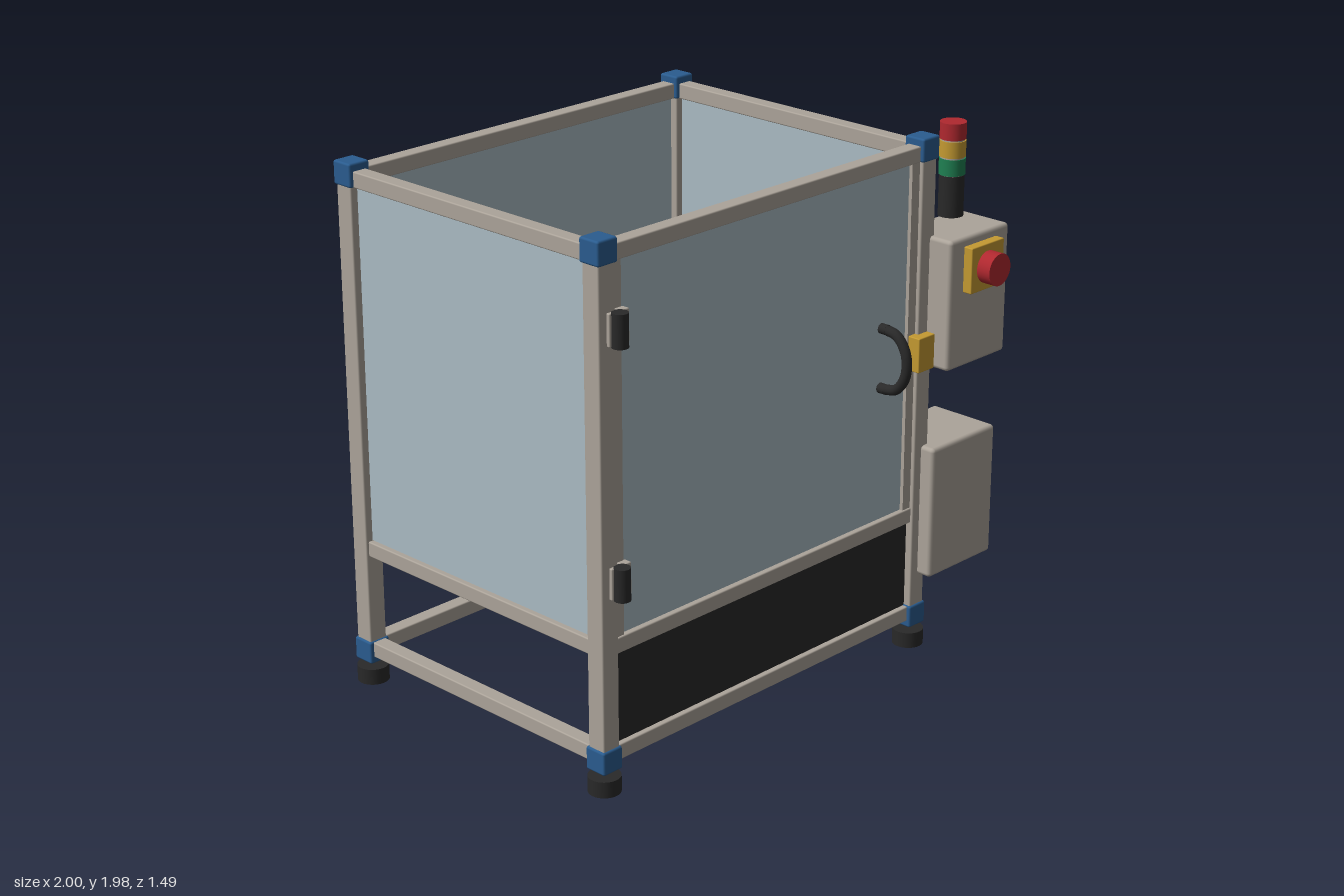
import * as THREE from 'three';
import { RoundedBoxGeometry } from 'three/addons/geometries/RoundedBoxGeometry.js';

const mat = (name, color, side = THREE.FrontSide) => {
  const m = new THREE.MeshStandardMaterial({ color, side });
  m.name = name;
  return m;
};

export function createModel() {
  const model = new THREE.Group();
  model.name = 'machineCell';
  const beige = mat('beige metal', 0xaca49a);
  const glass = mat('glass blue', 0xabbcc4);
  const blue = mat('blue', 0x2a5c8f);
  const black = mat('black', 0x292929);
  const red = mat('red', 0xb0282f);
  const yellow = mat('yellow', 0xc49a32);
  const green = mat('green', 0x1f8052);

  const add = (name, geo, m, x, y, z, parent = model) => {
    const mesh = new THREE.Mesh(geo, m);
    mesh.name = name;
    mesh.position.set(x, y, z);
    parent.add(mesh);
    return mesh;
  };
  // Box given by its limits, with softly rounded edges when r > 0
  const box = (name, m, x0, x1, y0, y1, z0, z1, r = 0) => {
    const s = [x1 - x0, y1 - y0, z1 - z0];
    const geo = r ? new RoundedBoxGeometry(...s, 2, r) : new THREE.BoxGeometry(...s);
    return add(name, geo, m, (x0 + x1) / 2, (y0 + y1) / 2, (z0 + z1) / 2);
  };
  const cyl = (r, h, n = 32) => new THREE.CylinderGeometry(r, r, h, n);
  const cylZ = (r, h) => cyl(r, h).rotateX(Math.PI / 2);

  // Frame: posts, corner blocks, feet
  const X = [-0.942, 0.643], Z = [-0.687, 0.517], p = 0.037, b = 0.029;
  for (const x of X) for (const z of Z) {
    box('post', beige, x - p, x + p, 0.14, 1.92, z - p, z + p, 0.006);
    for (const y of [0.128, 1.925]) add('cornerBlock', new RoundedBoxGeometry(0.088, 0.086, 0.088, 2, 0.008), blue, x, y, z);
    add('foot', cyl(0.058, 0.06), black, x, 0.032, z);
  }
  // Horizontal rails at three heights on all four sides
  for (const y of [0.139, 0.537, 1.911]) {
    for (const z of Z) box('crossRail', beige, X[0] + p, X[1] - p, y - b, y + b, z - b, z + b, 0.005);
    for (const x of X) box('sideRail', beige, x - b, x + b, y - b, y + b, Z[0] + p, Z[1] - p, 0.005);
  }

  // Glass panels and the dark front skirt
  const g = 0.008, y0 = 0.566, y1 = 1.882;
  for (const x of X) box('sidePanel', glass, x - g, x + g, y0, y1, Z[0] + p, Z[1] - p);
  box('backPanel', glass, X[0] + p, X[1] - p, y0, y1, Z[0] - g, Z[0] + g);
  box('doorPanel', glass, -0.865, 0.566, y0, y1, Z[1] - g, Z[1] + g);
  box('frontSkirt', black, X[0] + p, X[1] - p, 0.168, 0.508, Z[1] - g, Z[1] + g);
  box('doorStile', beige, -0.905, -0.865, y0, y1, Z[1] - 0.022, Z[1] + 0.022);
  box('doorStile', beige, 0.566, 0.606, y0, y1, Z[1] - 0.022, Z[1] + 0.022);

  // Door hinges, handle and latch
  for (const y of [0.78, 1.664]) {
    box('hingeLeaf', beige, -0.945, -0.855, y - 0.057, y + 0.057, 0.535, 0.567, 0.004);
    add('hingePin', cyl(0.029, 0.118, 20), black, -0.911, y, 0.58);
  }
  const path = new THREE.CatmullRomCurve3([[1.08, 0.55], [1.092, 0.6], [1.15, 0.641], [1.235, 0.641], [1.293, 0.6], [1.305, 0.55]]
    .map(([y, z]) => new THREE.Vector3(0.435, y, z)));
  add('doorHandle', new THREE.TubeGeometry(path, 32, 0.019, 12), black, 0, 0, 0);
  for (const y of [1.08, 1.305]) add('handleEnd', cylZ(0.019, 0.03), black, 0.435, y, 0.54);
  box('doorLatch', yellow, 0.571, 0.657, 1.112, 1.243, 0.535, 0.59, 0.004);

  // Control box with emergency stop, and lower cabinet
  box('controlBox', beige, 0.655, 0.982, 1.11, 1.6, 0.417, 0.653, 0.015);
  box('stopPlate', yellow, 0.728, 0.908, 1.396, 1.567, 0.65, 0.69, 0.004);
  add('stopButton', cylZ(0.06, 0.06), red, 0.817, 1.481, 0.716);
  box('lowerCabinet', beige, 0.643, 1.0, 0.29, 0.802, 0.323, 0.612, 0.015);

  // Signal tower
  [['towerBase', black, 1.638, 1.79, 0.046], ['greenLamp', green, 1.792, 1.852, 0.048],
    ['yellowLamp', yellow, 1.858, 1.917, 0.048], ['redLamp', red, 1.923, 1.984, 0.048]]
    .forEach(([n, m, lo, hi, r]) => add(n, cyl(r, hi - lo), m, 0.811, (lo + hi) / 2, 0.518));
  add('lampCore', cyl(0.044, 0.18), beige, 0.811, 1.88, 0.518);

  // Work table with two round fixtures
  box('workTable', beige, -0.155, 0.518, 0.57, 0.64, -0.37, 0.163);
  for (const x of [-0.066, 0.368]) add('fixture', cyl(0.07, 0.03), beige, x, 0.65, -0.085);

  // Robot arm, built in its own upright plane and turned slightly
  const arm = new THREE.Group();
  arm.name = 'robotArm';
  arm.position.set(-0.585, 0, -0.235);
  arm.rotation.y = -0.09;
  model.add(arm);
  add('armBase', cyl(0.164, 0.13, 48), beige, 0, 0.635, 0, arm);
  add('armTurret', cyl(0.075, 0.16), blue, 0, 0.78, 0, arm);

  // Tapered link between two round ends
  const link = (name, [ax, ay, ar], [bx, by, br], depth) => {
    const f = Math.atan2(by - ay, bx - ax);
    const t = Math.acos((ar - br) / Math.hypot(bx - ax, by - ay));
    const s = new THREE.Shape();
    s.absarc(ax, ay, ar, f + t, f - t + 2 * Math.PI, false);
    s.absarc(bx, by, br, f - t, f + t, false);
    const geo = new THREE.ExtrudeGeometry(s, {
      depth: depth - 0.02, bevelThickness: 0.01, bevelSize: 0.008, bevelOffset: -0.008, bevelSegments: 2, curveSegments: 16,
    });
    add(name, geo, beige, 0, 0, -depth / 2 + 0.01, arm);
  };
  const shoulder = [0, 0.86], elbow = [0.14, 1.35], wrist = [0.705, 1.13];
  link('upperArm', [...shoulder, 0.078], [...elbow, 0.068], 0.135);
  link('forearm', [...elbow, 0.075], [...wrist, 0.055], 0.14);
  [['shoulderJoint', shoulder, 0.088], ['elbowJoint', elbow, 0.088], ['wristJoint', wrist, 0.066]].forEach(([n, [x, y], r]) => {
    add(n, cylZ(r, 0.125), blue, x, y, -0.005, arm);
    add(n + 'Cap', cylZ(r * 0.8, 0.03), black, x, y, 0.07, arm);
  });
  add('toolFlange', cyl(0.045, 0.12), beige, wrist[0], wrist[1] - 0.1, 0, arm);
  add('toolTip', cyl(0.03, 0.08), black, wrist[0], wrist[1] - 0.2, 0, arm);
  return model;
}
